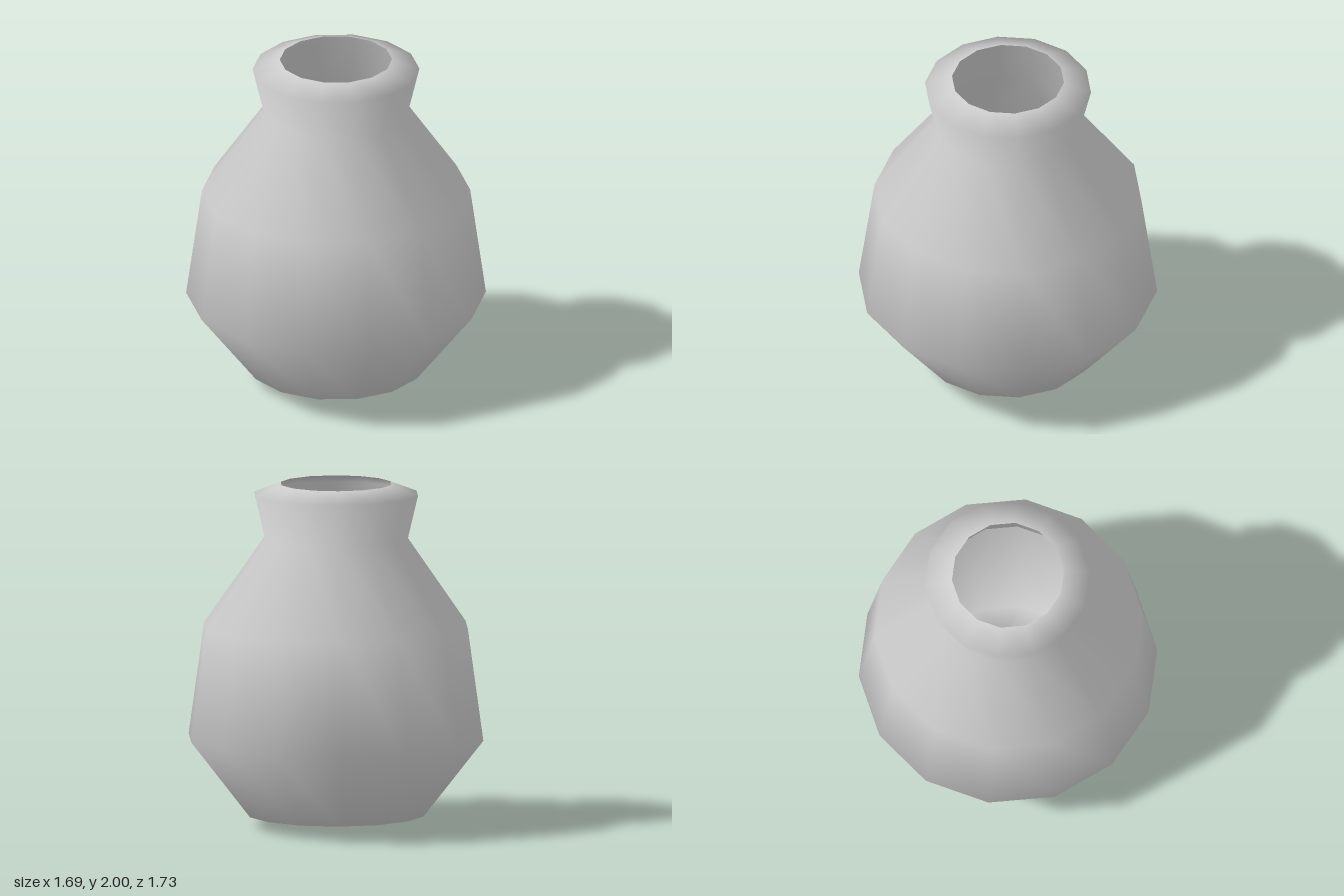
import * as THREE from 'three';

const SIDES = 14;

// Profile of the thin-walled jar, from the edge of the floor up to the mouth: [radius, height]
const WALL = [
  [0.28, 0.038],
  [0.515, 0.07],
  [0.866, 0.52],
  [0.775, 1.17],
  [0.42, 1.68],
  [0.482, 1.94],
  [0.325, 2],
];

// Central floor, facing up into the jar
const FLOOR = [[0.28, 0.038], [0, 0]];

function turn(profile) {
  return new THREE.LatheGeometry(profile.map(([r, y]) => new THREE.Vector2(r, y)), SIDES);
}

// Point the normals of one ring of a turned shape outward (rise 0) or upward (rise 1)
function setRingNormals(geometry, ring, ringCount, rise) {
  const normal = geometry.attributes.normal;
  for (let i = 0; i <= SIDES; i++) {
    const a = (i / SIDES) * Math.PI * 2;
    normal.setXYZ(i * ringCount + ring, Math.sin(a) * (1 - rise), rise, Math.cos(a) * (1 - rise));
  }
}

export function createModel() {
  const clay = new THREE.MeshStandardMaterial({ color: 0xcccccc, side: THREE.DoubleSide });
  clay.name = 'clay grey';

  const group = new THREE.Group();
  group.name = 'jar';

  // Underside, belly, shoulder, neck and rim in one skin
  const wallGeometry = turn(WALL);
  setRingNormals(wallGeometry, 0, WALL.length, 0);
  const wall = new THREE.Mesh(wallGeometry, clay);
  wall.name = 'jarWall';

  // Shallow pointed floor, softly blended into the underside
  const floorGeometry = turn(FLOOR);
  setRingNormals(floorGeometry, 0, FLOOR.length, 0);
  setRingNormals(floorGeometry, 1, FLOOR.length, 1);
  const floor = new THREE.Mesh(floorGeometry, clay);
  floor.name = 'jarFloor';

  group.add(wall, floor);
  return group;
}
